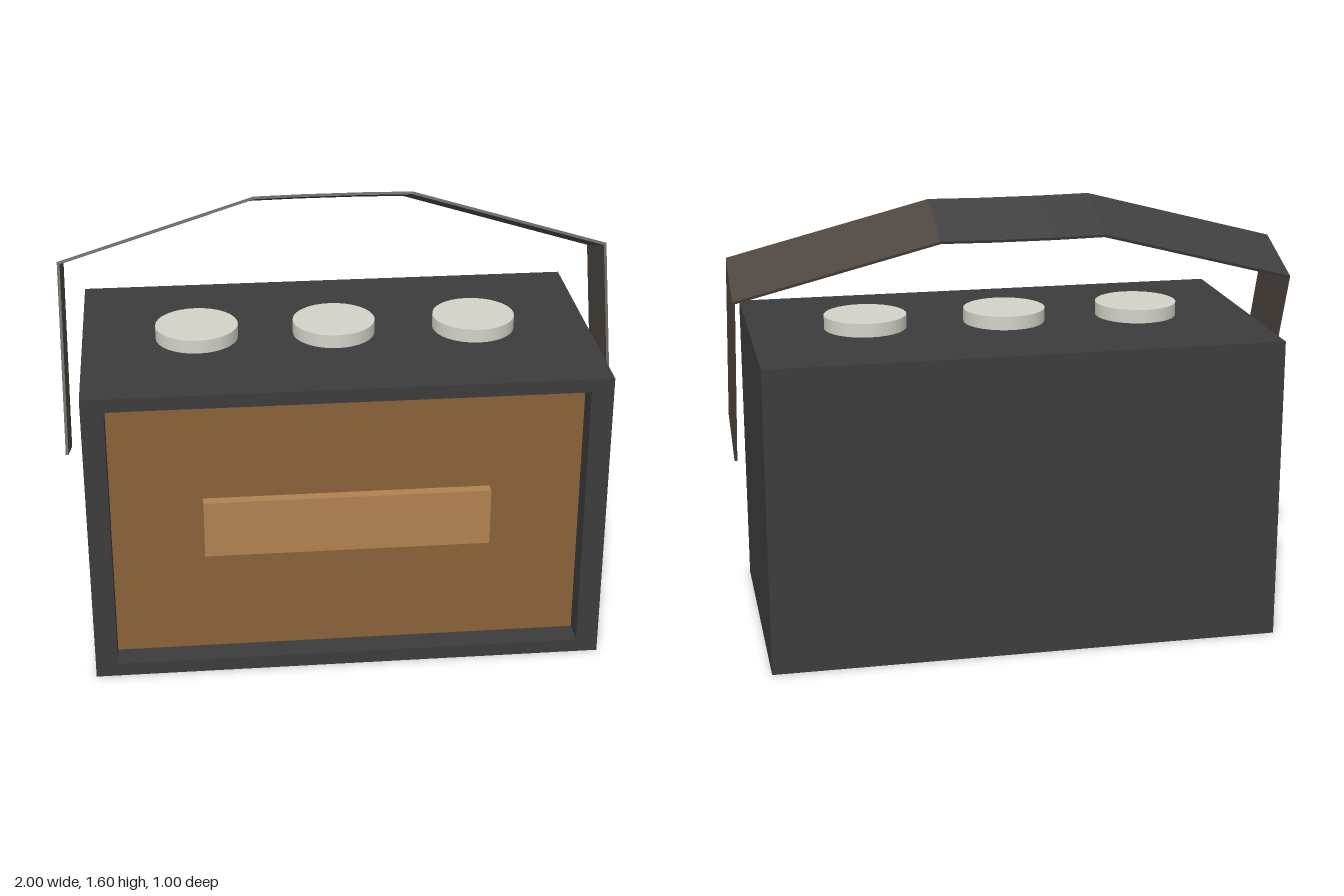
import * as THREE from 'three';

const mat = (color, flatShading = true) => new THREE.MeshStandardMaterial({ color, flatShading });

function addMesh(parent, name, geometry, material, x = 0, y = 0, z = 0) {
  const mesh = new THREE.Mesh(geometry, material);
  mesh.name = name;
  mesh.position.set(x, y, z);
  parent.add(mesh);
  return mesh;
}

function rectPoints(x0, y0, x1, y1) {
  return [[x0, y0], [x1, y0], [x1, y1], [x0, y1]].map(([x, y]) => new THREE.Vector2(x, y));
}

export function createModel() {
  const model = new THREE.Group();
  model.name = 'carryCase';

  const caseMat = mat(0x3c3c3c);
  const panelMat = mat(0x8c6239);
  const barMat = mat(0xb08250);
  const knobMat = mat(0xd4d1c8, false);
  const strapMat = mat(0x404040);
  const strapBrownMat = mat(0x4d4640);

  // Case: solid rear block with a rim around the recessed front
  const W = 0.925, H = 1.115, recess = 0.1;
  addMesh(model, 'caseBody', new THREE.BoxGeometry(2 * W, H, 1 - recess), caseMat, 0, H / 2, -recess / 2);
  const rim = new THREE.Shape(rectPoints(-W, 0, W, H));
  rim.holes.push(new THREE.Path(rectPoints(-0.845, 0.05, 0.845, 1.065)));
  addMesh(model, 'frontRim', new THREE.ExtrudeGeometry(rim, { depth: recess, bevelEnabled: false }),
    caseMat, 0, 0, 0.5 - recess);

  // Recessed front panel and its raised bar
  addMesh(model, 'frontPanel', new THREE.BoxGeometry(1.69, 1.015, 0.02), panelMat, 0, 0.5575, 0.395);
  addMesh(model, 'frontBar', new THREE.BoxGeometry(1.03, 0.215, 0.05), barMat, 0, 0.5575, 0.42);

  // Knobs on the top
  [-0.51, -0.01, 0.505].forEach((x, i) => {
    addMesh(model, `knob${i + 1}`, new THREE.CylinderGeometry(0.15, 0.15, 0.05, 32), knobMat, x, H + 0.025, 0);
  });

  // Handle: thin flat strap bent over the case, tilted backwards
  const handle = new THREE.Group();
  handle.name = 'handle';
  handle.position.set(0, 0.755, 0.195);
  handle.rotation.x = -0.361;
  model.add(handle);

  const t = 0.01, width = 0.28;
  const half = [[1, 0], [1, 0.695], [0.29, 0.905], [0.11, 0.908]];
  const halfInner = [[1 - t, 0], [1 - t, 0.687], [0.288, 0.895], [0.11, 0.898]];
  const mirror = (pts) => [...pts, ...pts.slice().reverse().map(([x, y]) => [-x, y])];
  const outer = mirror(half), inner = mirror(halfInner);
  const names = ['leftArm', 'leftSlope', 'leftTop', 'middleTop', 'rightTop', 'rightSlope', 'rightArm'];
  names.forEach((name, i) => {
    const corners = [outer[i], outer[i + 1], inner[i + 1], inner[i]];
    const shape = new THREE.Shape(corners.map(([x, y]) => new THREE.Vector2(x, y)));
    const geo = new THREE.ExtrudeGeometry(shape, { depth: width, bevelEnabled: false });
    geo.translate(0, 0, -width);
    // the middle of the strap bows slightly backwards
    const pos = geo.attributes.position;
    for (let k = 0; k < pos.count; k++) {
      if (Math.abs(pos.getX(k)) < 0.15) pos.setZ(k, pos.getZ(k) - 0.01);
    }
    geo.computeVertexNormals();
    const brown = i < 2 || i === 6;
    addMesh(handle, name, geo, brown ? strapBrownMat : strapMat);
  });

  return model;
}
